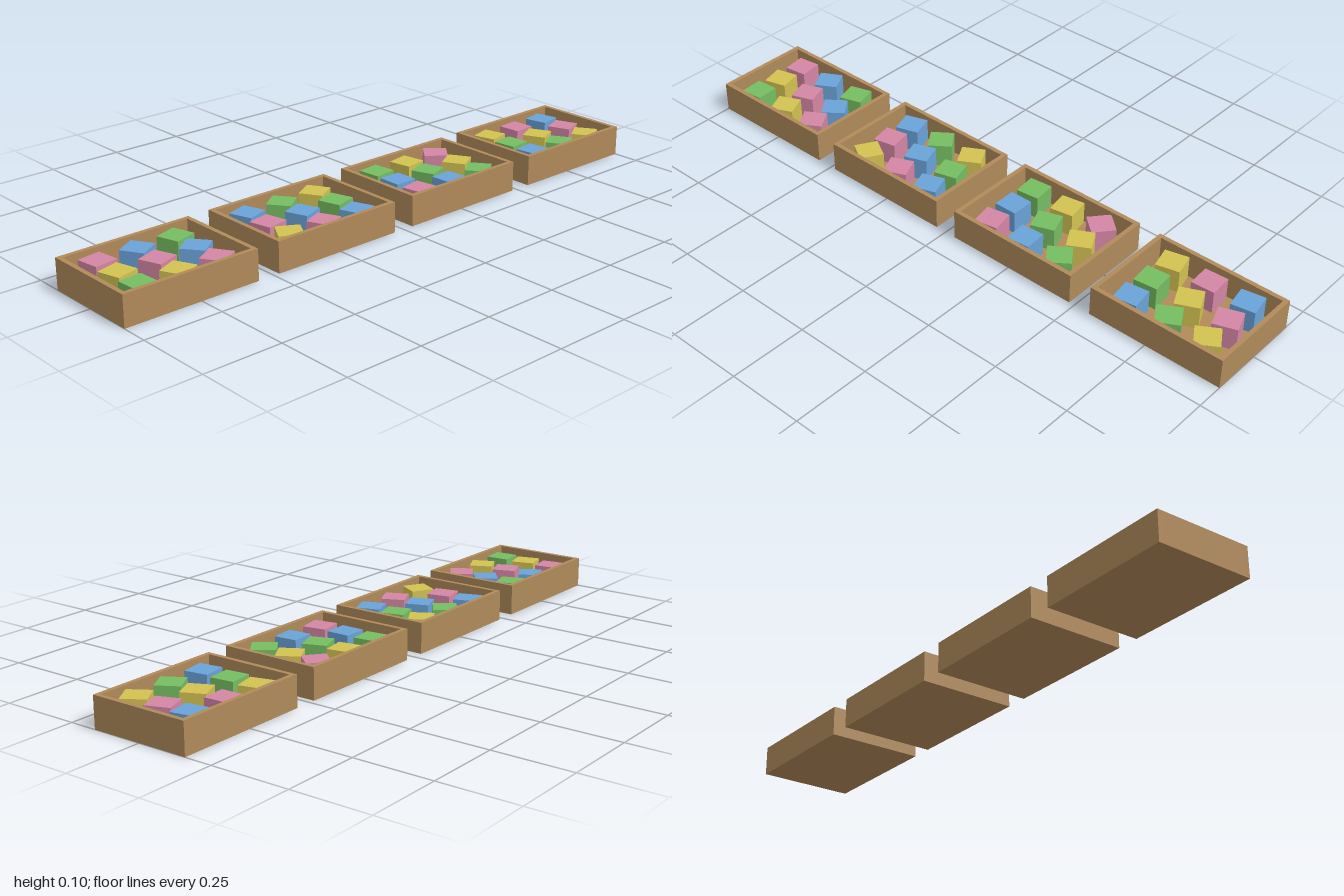
import * as THREE from 'three';

const W = 0.4453, H = 0.098, D = 0.324, WALL = 0.0145, FLOOR = 0.012;
const PITCH = 0.5182, CUBE = 0.076;

// Turn of every block in degrees, per tray, back row to front row
const TURNS = [
  [8, 30, 17, 15, 20, 38, 4, 25, 32],
  [18, 36, 30, 12, 20, 16, -30, 24, 20],
  [6, 10, -40, 0, 20, 30, 10, 4, 36],
  [14, 3, 10, 6, 25, 20, 8, 30, 32],
];

export function createModel() {
  const wood = new THREE.MeshStandardMaterial({ color: 0xb08a5a });
  const paints = [0xd486a4, 0x6aa3d8, 0x76bd62, 0xd2c252]
    .map((color) => new THREE.MeshStandardMaterial({ color }));
  const blockGeometry = new THREE.BoxGeometry(CUBE, CUBE, CUBE);

  function addBox(parent, name, size, position) {
    const mesh = new THREE.Mesh(new THREE.BoxGeometry(...size), wood);
    mesh.name = name;
    mesh.position.set(...position);
    parent.add(mesh);
  }

  const model = new THREE.Group();
  model.name = 'blockTrays';

  TURNS.forEach((turns, t) => {
    const tray = new THREE.Group();
    tray.name = 'tray' + (t + 1);
    tray.position.x = (t - 1.5) * PITCH;

    // Wooden tray: floor and four walls
    addBox(tray, 'floor', [W - 2 * WALL, FLOOR, D - 2 * WALL], [0, FLOOR / 2, 0]);
    for (const s of [-1, 1]) {
      addBox(tray, s > 0 ? 'frontWall' : 'backWall', [W, H, WALL], [0, H / 2, s * (D - WALL) / 2]);
      addBox(tray, s > 0 ? 'leftWall' : 'rightWall', [WALL, H, D - 2 * WALL], [s * (W - WALL) / 2, H / 2, 0]);
    }

    // Three by three loose blocks in cycling colours
    turns.forEach((turn, i) => {
      const row = Math.floor(i / 3), col = i % 3;
      const block = new THREE.Mesh(blockGeometry, paints[(t + col + 3 * row) % 4]);
      block.name = 'block';
      block.position.set((col - 1) * 0.13, 0.01 + CUBE / 2, (row - 1) * 0.097);
      block.rotation.y = THREE.MathUtils.degToRad(turn);
      tray.add(block);
    });
    model.add(tray);
  });
  return model;
}
